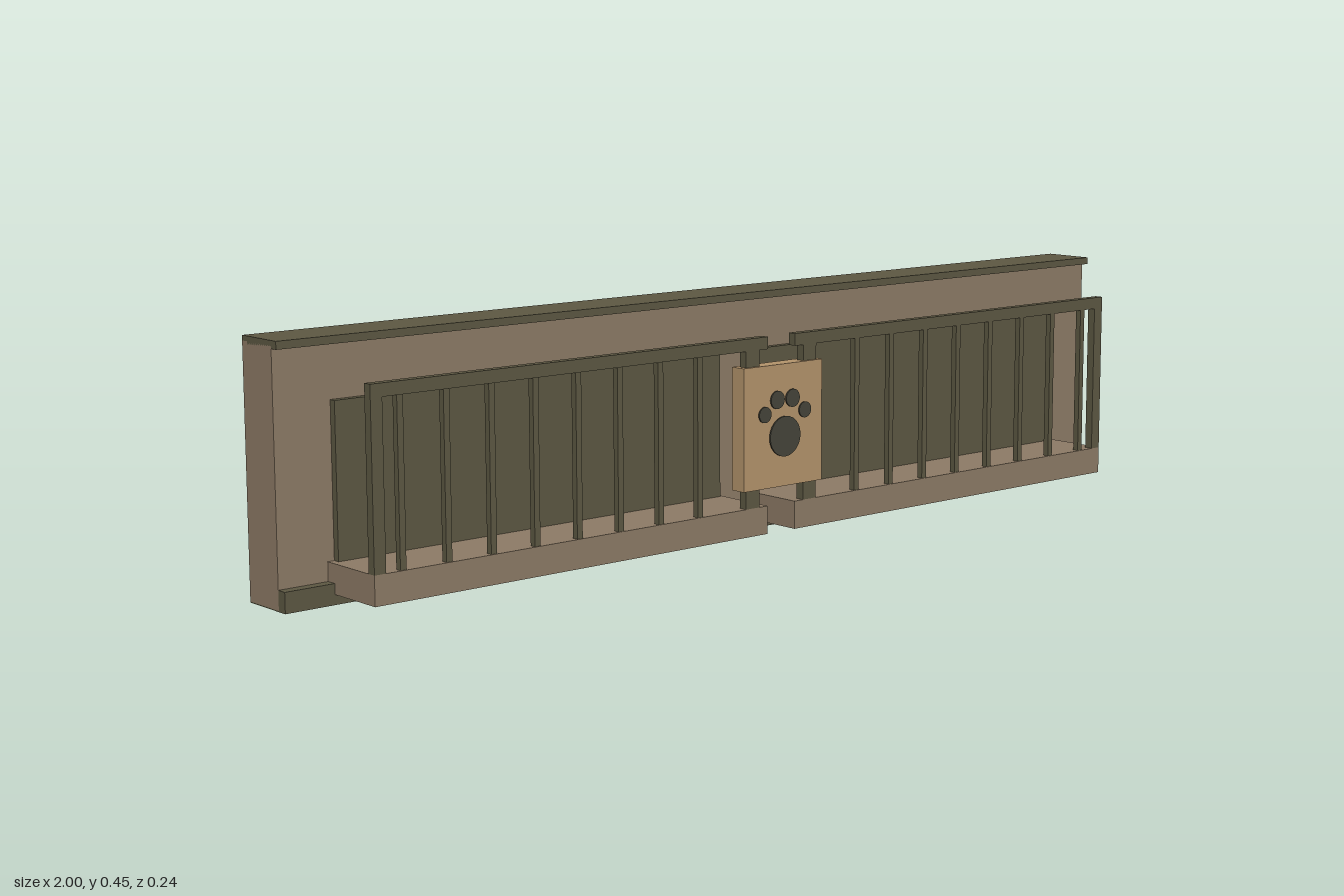
import * as THREE from 'three';

const mat = (name, color) => {
  const m = new THREE.MeshStandardMaterial({ color });
  m.name = name;
  return m;
};

export function createModel() {
  const group = new THREE.Group();
  const brown = mat('brown wall', 0x8d7b66);
  const olive = mat('dark olive trim', 0x5d5843);
  const tan = mat('tan plaque', 0xb4946c);
  const dark = mat('dark emblem', 0x45443a);

  // Box given by its lower and upper limits on each axis
  const box = (name, m, [x0, x1], [y0, y1], [z0, z1]) => {
    const mesh = new THREE.Mesh(new THREE.BoxGeometry(x1 - x0, y1 - y0, z1 - z0), m);
    mesh.position.set((x0 + x1) / 2, (y0 + y1) / 2, (z0 + z1) / 2);
    mesh.name = name;
    group.add(mesh);
  };

  // Wall, its cap and its foot
  box('wall', brown, [-1, 1], [0.002, 0.445], [-0.12, -0.03]);
  box('wallCap', olive, [-1, 1], [0.445, 0.454], [-0.12, -0.015]);
  box('capLip', olive, [-1, 1], [0.44, 0.446], [-0.105, -0.015]);
  box('wallUnderside', olive, [-1, 1], [0, 0.002], [-0.12, -0.03]);
  box('footStrip', olive, [-1, 1], [0, 0.018], [-0.03, -0.01]);

  // Mirrored balcony halves
  for (const s of [-1, 1]) {
    const span = (a, b) => (s > 0 ? [a, b] : [-b, -a]);
    const railZ = [0.093, 0.11];
    box('footBlock', olive, span(0.9, 1), [0.018, 0.037], [-0.03, -0.01]);
    box('windowPanel', olive, span(0.04, 0.89), [0.071, 0.345], [-0.03, -0.017]);
    box('balconyFloor', brown, span(0.034, 0.903), [0.018, 0.071], [-0.03, 0.11]);
    box('topRail', olive, span(0.034, 0.903), [0.365, 0.388], railZ);
    box('endPost', olive, span(0.88, 0.903), [0.071, 0.366], railZ);
    box('innerPost', olive, span(0.055, 0.088), [0.071, 0.366], railZ);
    for (let i = 0; i < 8; i++) {
      const x = 0.197 + i * 0.0925;
      box('railBar', olive, span(x - 0.006, x + 0.006), [0.071, 0.366], [0.096, 0.108]);
    }
  }

  // Centre plaque bridging the two railings
  box('plaque', tan, [-0.098, 0.098], [0.105, 0.335], [0.082, 0.115]);

  // Paw emblem: one pad and four toes
  const disc = (name, x, y, r) => {
    const mesh = new THREE.Mesh(new THREE.CylinderGeometry(r, r, 0.003, 24).rotateX(Math.PI / 2), dark);
    mesh.position.set(x, y, 0.12);
    mesh.name = name;
    group.add(mesh);
  };
  disc('pawPad', 0, 0.2, 0.038);
  for (const s of [-1, 1]) {
    disc('outerToe', s * 0.05, 0.245, 0.015);
    disc('innerToe', s * 0.019, 0.27, 0.017);
  }
  return group;
}
